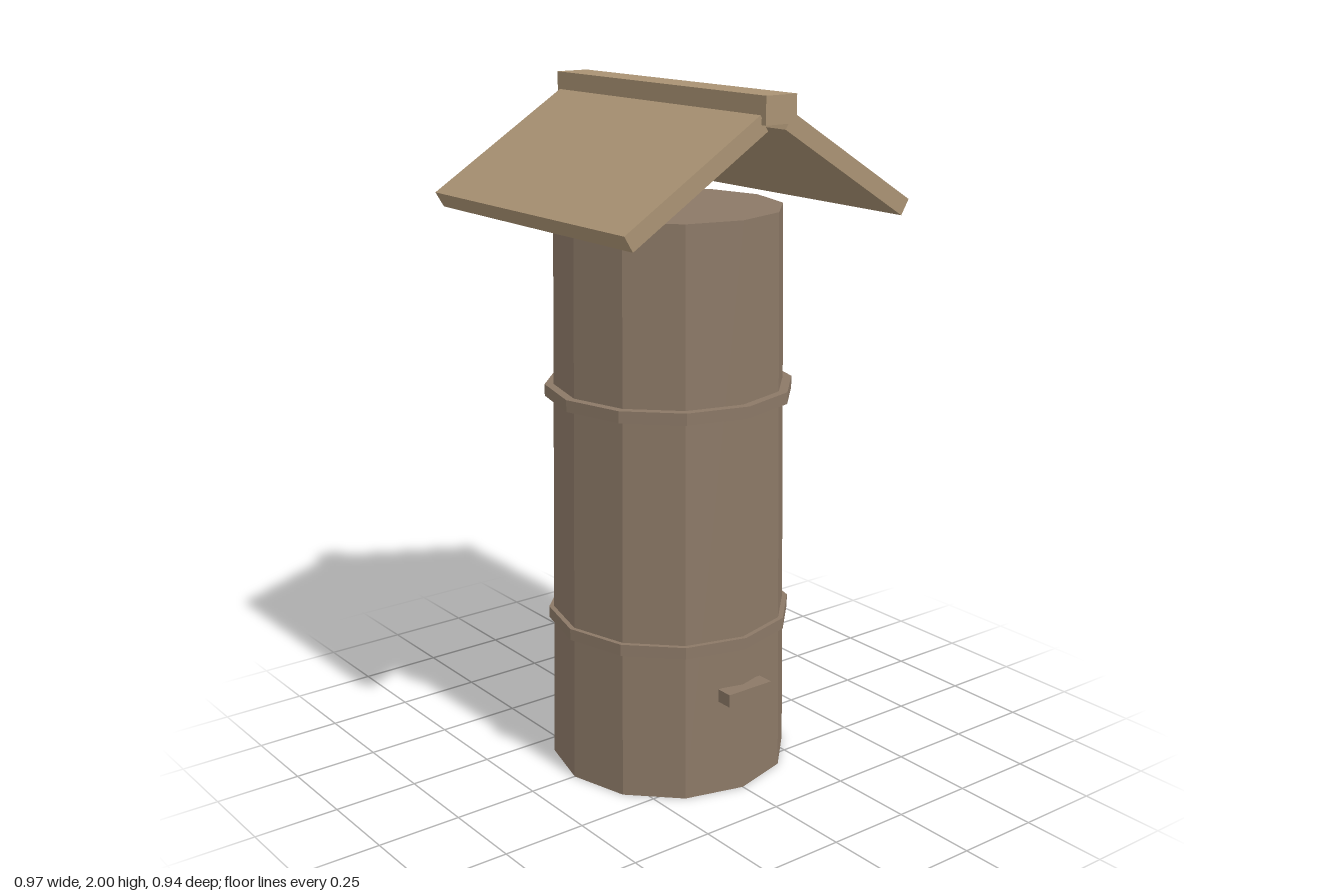
import * as THREE from 'three';

export function createModel() {
  const model = new THREE.Group();
  const bark = new THREE.MeshStandardMaterial({ color: 0x8b7866, flatShading: true });
  bark.name = 'bark brown';
  const timber = new THREE.MeshStandardMaterial({ color: 0xa99273, flatShading: true });
  timber.name = 'pale timber';

  const add = (name, geometry, material, x, y, z) => {
    const mesh = new THREE.Mesh(geometry, material);
    mesh.name = name;
    mesh.position.set(x, y, z);
    model.add(mesh);
    return mesh;
  };

  // Tapered twelve-sided trunk
  add('trunk', new THREE.CylinderGeometry(0.325, 0.352, 1.66, 12), bark, 0, 0.83, 0);

  // Binding hoops
  for (const [name, y] of [['lowerHoop', 0.455], ['upperHoop', 1.137]]) {
    add(name, new THREE.CylinderGeometry(0.359, 0.359, 0.034, 12), bark, 0, y, 0);
  }

  // Landing ledge on the front
  add('landingLedge', new THREE.BoxGeometry(0.154, 0.038, 0.05), bark, 0, 0.305, 0.355);

  // Two sloping roof boards
  for (const side of [1, -1]) {
    const board = add(side > 0 ? 'leftRoofBoard' : 'rightRoofBoard',
      new THREE.BoxGeometry(0.505, 0.05, 0.904), timber, side * 0.258, 1.797, 0);
    board.rotation.z = -side * 0.55;
  }

  // Ridge beam
  add('ridgeBeam', new THREE.BoxGeometry(0.104, 0.075, 0.937), timber, 0, 1.9625, 0);

  return model;
}
